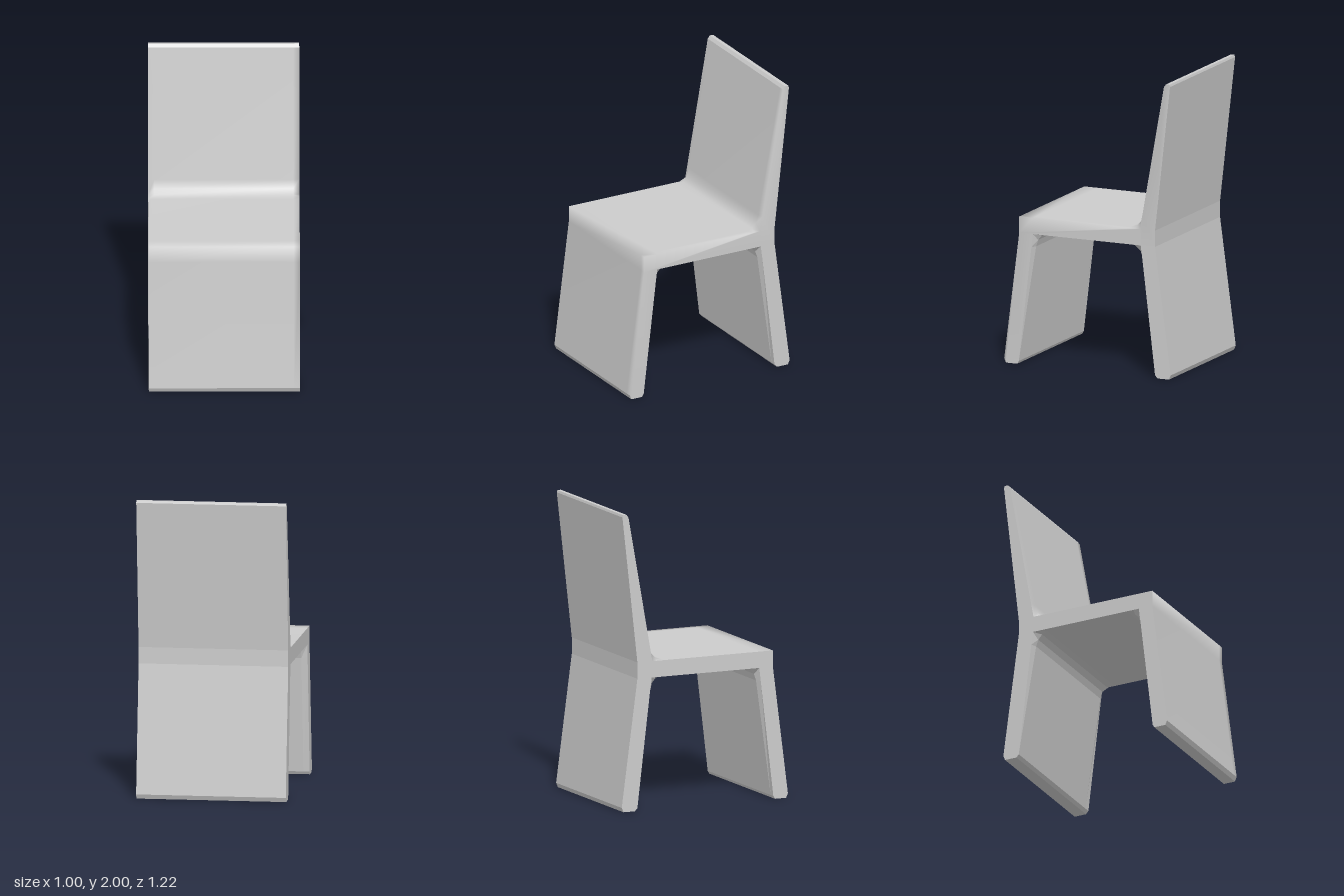
import * as THREE from 'three';

// Side profile as [z, y], running down the backrest, over the seat, down the front,
// along the underside and up the rear. An entry with four numbers has its own
// [z, y] for the middle of the chair, where the inner corners are filleted.
const PROFILE = [
  [-0.605, 1.985], [-0.6, 2], [-0.575, 2], [-0.56, 1.98],               // top rim
  [-0.403, 1.1, -0.394, 1.1], [-0.385, 1, -0.374, 1.045],               // back to seat
  [-0.345, 1, -0.345, 1.013], [-0.3, 1],
  [0.4, 1], [0.5, 1], [0.5, 0.89], [0.61, 0.03],                        // front edge and panel
  [0.597, 0], [0.515, 0], [0.503, 0.02],                                // front foot
  [0.411, 0.8, 0.395, 0.8], [0.4, 0.89, 0.38, 0.845],                   // front inner corner
  [0.36, 0.89, 0.35, 0.878], [0.31, 0.89],
  [-0.3, 0.89], [-0.345, 0.89, -0.342, 0.878],                          // rear inner corner
  [-0.39, 0.89, -0.37, 0.845], [-0.402, 0.8, -0.386, 0.8],
  [-0.495, 0.02], [-0.513, 0], [-0.597, 0], [-0.61, 0.03],              // rear foot
  [-0.495, 0.89], [-0.495, 1],                                          // rear face
];
const COLUMNS = [-0.5, -0.46, 0.46, 0.5];
const FRONT_START = 3, FRONT_END = 11; // profile span of the softly shaded front surface

export function createModel() {
  const n = PROFILE.length, cols = COLUMNS.length;

  // Grid of points: the profile repeated at each column, filleted in the middle
  const positions = [];
  COLUMNS.forEach((x, j) => {
    const middle = j > 0 && j < cols - 1;
    for (const [z, y, mz = z, my = y] of PROFILE) positions.push(x, middle ? my : y, middle ? mz : z);
  });

  // Skin between the columns
  const soft = [], crisp = [];
  for (let i = 0; i < n; i++) {
    const k = (i + 1) % n;
    const target = i >= FRONT_START && i < FRONT_END ? soft : crisp;
    for (let j = 0; j < cols - 1; j++) {
      const a = j * n + i, b = j * n + k, c = b + n, d = a + n;
      target.push(a, b, d, b, c, d);
    }
  }

  // Side faces: the left one blends into the front surface, the right one is crisp
  const outline = PROFILE.map(([z, y]) => new THREE.Vector2(-z, y));
  const last = (cols - 1) * n;
  for (const [a, b, c] of THREE.ShapeUtils.triangulateShape(outline, [])) {
    soft.push(last + a, last + b, last + c);
    crisp.push(a, c, b);
  }

  const material = new THREE.MeshStandardMaterial({ color: 0xcccccc });
  const makeMesh = (name, index, flat) => {
    let geometry = new THREE.BufferGeometry();
    geometry.setAttribute('position', new THREE.Float32BufferAttribute(positions, 3));
    geometry.setIndex(index);
    if (flat) geometry = geometry.toNonIndexed();
    geometry.computeVertexNormals();
    const mesh = new THREE.Mesh(geometry, material);
    mesh.name = name;
    return mesh;
  };

  const chair = new THREE.Group();
  chair.name = 'chair';
  chair.add(makeMesh('seatAndFrontSurface', soft, false));
  chair.add(makeMesh('rearAndUnderside', crisp, true));
  return chair;
}
